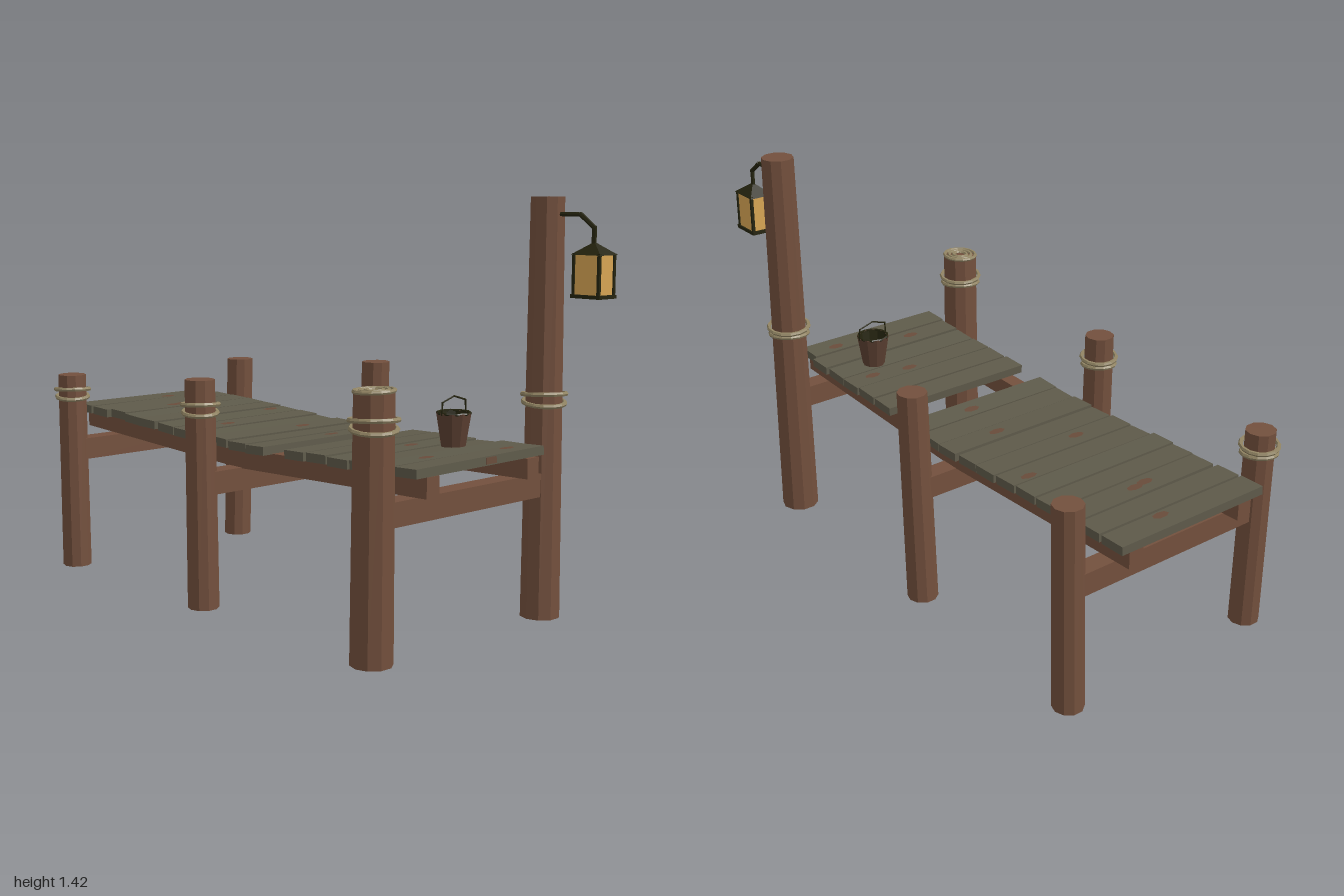
import * as THREE from 'three';

const mat = (name, color, extra = {}) => {
  const m = new THREE.MeshStandardMaterial({ color, flatShading: true, ...extra });
  m.name = name;
  return m;
};

export function createModel() {
  const root = new THREE.Group();
  root.name = 'dock';
  const wood = mat('post wood', 0x73503d);
  const plankWood = mat('weathered plank', 0x5e5a4a);
  const patchWood = mat('worn patch', 0x694c3b, { side: THREE.DoubleSide });
  const ropeMat = mat('rope', 0x918463);
  const iron = mat('dark iron', 0x25240f);
  const glass = mat('lantern glass', 0xd9a654);
  const bucketWood = mat('bucket wood', 0x5c4032);

  const add = (parent, name, geo, material, x = 0, y = 0, z = 0) => {
    const m = new THREE.Mesh(geo, material);
    m.name = name;
    m.position.set(x, y, z);
    parent.add(m);
    return m;
  };
  let seed = 7;
  const jitter = (a) => {
    seed = (seed * 16807) % 2147483647;
    return (seed / 2147483647 - 0.5) * 2 * a;
  };
  const strut = (parent, name, a, b, r, material) => {
    const p = new THREE.Vector3(...a), q = new THREE.Vector3(...b);
    const d = q.clone().sub(p);
    const m = add(parent, name, new THREE.CylinderGeometry(r, r, d.length() + r, 6), material);
    m.position.copy(p).add(q).multiplyScalar(0.5);
    m.quaternion.setFromUnitVectors(new THREE.Vector3(0, 1, 0), d.normalize());
  };
  const ring = (name, R, tube, x, y, z, tiltX = 0, tiltZ = 0) => {
    const g = new THREE.TorusGeometry(R, tube, 6, 14).rotateX(Math.PI / 2);
    add(root, name, g, ropeMat, x, y, z).rotation.set(tiltX, 0, tiltZ);
  };

  // Leaning posts: foot x/z, top x/z, height, foot and top radius, rope height
  const posts = [
    ['frontRightPost', -0.88, 0.4, -0.89, 0.4, 0.74, 0.054, 0.052, 0.67],
    ['backRightPost', -0.88, -0.4, -0.87, -0.41, 0.74, 0.054, 0.052, 0],
    ['frontMiddlePost', -0.08, 0.4, -0.09, 0.4, 0.8, 0.055, 0.052, 0.7],
    ['backMiddlePost', -0.08, -0.4, -0.06, -0.41, 0.8, 0.055, 0.052, 0],
    ['frontLeftPost', 0.76, 0.4, 0.775, 0.41, 0.85, 0.069, 0.064, 0.75],
    ['lanternPost', 0.76, -0.4, 0.745, -0.413, 1.42, 0.069, 0.058, 0.75],
  ];
  for (const [name, x0, z0, x1, z1, h, r0, r1, ropeY] of posts) {
    const g = new THREE.CylinderGeometry(r1, r0, h, 10, 1).translate(0, h / 2, 0);
    const p = g.attributes.position;
    for (let i = 0; i < p.count; i++) {
      const t = p.getY(i) / h;
      p.setX(i, p.getX(i) + x0 + (x1 - x0) * t);
      p.setZ(i, p.getZ(i) + z0 + (z1 - z0) * t);
    }
    g.computeVertexNormals();
    add(root, name, g, wood);
    // Rope wraps
    if (ropeY) {
      const t = ropeY / h, R = r0 + (r1 - r0) * t + 0.007;
      const x = x0 + (x1 - x0) * t, z = z0 + (z1 - z0) * t;
      ring('ropeWrap', R, 0.008, x, ropeY - 0.014, z, 0.06, -0.09);
      ring('ropeWrap', R + 0.004, 0.008, x, ropeY + 0.014, z, -0.05, 0.07);
    }
  }
  // Rope coil lying on the front left post
  for (const R of [0.062, 0.045, 0.027]) ring('ropeCoil', R, 0.007, 0.775, 0.852, 0.41, 0.02, 0.03);

  // Deck height sags toward the middle posts
  const BEND = -0.05;
  const sag = (x) => (x < BEND ? 0.037 * (BEND - x) / 0.95 : 0.032 * (x - BEND) / 0.9);

  // Cross beams between post pairs
  [[-0.875, 0.455], [-0.075, 0.442], [0.757, 0.464]].forEach(([x, y]) =>
    add(root, 'crossBeam', new THREE.BoxGeometry(0.07, 0.08, 0.78), wood, x, y, 0));

  // Long stringers, bent at the middle
  for (const z of [-0.24, 0.23]) {
    const s = new THREE.Shape();
    const xs = [-0.995, BEND, 0.85];
    xs.forEach((x, i) => s[i ? 'lineTo' : 'moveTo'](x, 0.479 + sag(x)));
    xs.reverse().forEach((x) => s.lineTo(x, 0.547 + sag(x)));
    const g = new THREE.ExtrudeGeometry(s, { depth: 0.056, bevelEnabled: false });
    add(root, 'stringer', g, wood, 0, 0, z - 0.028);
  }

  // Planks with one missing, each with small worn patches
  const patches = {
    0: [[0.03, -0.08]], 2: [[0, -0.01], [0.01, 0.04]], 5: [[-0.03, -0.22]], 6: [[0.01, 0.1]],
    8: [[0, -0.09]], 10: [[-0.01, -0.06]], 14: [[-0.02, -0.05], [0.01, -0.2]], 16: [[0.01, 0.12]],
    17: [[-0.02, -0.19]],
  };
  for (let i = 0; i < 18; i++) {
    if (i === 11) continue;
    const x = -0.952 + i * 0.103;
    const plank = new THREE.Group();
    plank.name = 'plank';
    plank.position.set(x, 0.5605 + sag(x) + jitter(0.003), -0.005 + jitter(0.008));
    plank.rotation.set(jitter(0.006), jitter(0.008), (x < BEND ? -0.038 : 0.035) + jitter(0.02));
    root.add(plank);
    add(plank, 'plankBoard', new THREE.BoxGeometry(0.094, 0.03, 0.605 + jitter(0.008)), plankWood);
    for (const [px, pz] of patches[i] || []) {
      const g = new THREE.CircleGeometry(0.025, 7).rotateX(-Math.PI / 2).scale(0.7, 1, 1.3);
      add(plank, 'wornPatch', g, patchWood, px * 0.8, 0.0158, pz);
    }
    if (i === 17) add(plank, 'wornEdge', new THREE.BoxGeometry(0.002, 0.022, 0.05), patchWood, 0.0475, 0, -0.04);
  }

  // Bucket made of staves
  const bucket = new THREE.Group();
  bucket.name = 'bucket';
  bucket.position.set(0.59, 0.592, -0.14);
  root.add(bucket);
  const shell = [[0, 0], [0.041, 0], [0.06, 0.117], [0.052, 0.117]];
  add(bucket, 'bucketStaves', new THREE.LatheGeometry(shell.map((p) => new THREE.Vector2(...p)), 10), bucketWood);
  const inside = [[0.053, 0.117], [0.037, 0.012], [0, 0.012]];
  add(bucket, 'bucketInside', new THREE.LatheGeometry(inside.map((p) => new THREE.Vector2(...p)), 10), iron);
  add(bucket, 'bucketRim', new THREE.TorusGeometry(0.056, 0.0045, 5, 10).rotateX(Math.PI / 2), iron, 0, 0.116, 0);
  const bail = [[0, 0.112, -0.058], [0, 0.155, -0.056], [0, 0.172, 0], [0, 0.155, 0.056], [0, 0.112, 0.058]];
  for (let i = 0; i < 4; i++) strut(bucket, 'bucketHandle', bail[i], bail[i + 1], 0.003, iron);

  // Lantern arm
  const arm = [[0.78, 1.363, -0.413], [0.882, 1.363, -0.413], [0.938, 1.322, -0.413], [0.938, 1.27, -0.413]];
  for (let i = 0; i < 3; i++) strut(root, 'lanternArm', arm[i], arm[i + 1], 0.008, iron);

  // Lantern
  const lantern = new THREE.Group();
  lantern.name = 'lantern';
  lantern.position.set(0.94, 1.095, -0.413);
  root.add(lantern);
  add(lantern, 'lanternGlass', new THREE.BoxGeometry(0.1, 0.14, 0.078), glass, 0, 0.075, 0);
  add(lantern, 'lanternBase', new THREE.BoxGeometry(0.118, 0.012, 0.09), iron, 0, 0.006, 0);
  for (const sx of [-1, 1]) for (const sz of [-1, 1])
    add(lantern, 'lanternCorner', new THREE.BoxGeometry(0.01, 0.14, 0.01), iron, sx * 0.05, 0.075, sz * 0.038);
  const roof = new THREE.ConeGeometry(Math.SQRT1_2, 1, 4).rotateY(Math.PI / 4).scale(0.12, 0.042, 0.092);
  add(lantern, 'lanternRoof', roof, iron, 0, 0.161, 0);

  return root;
}
